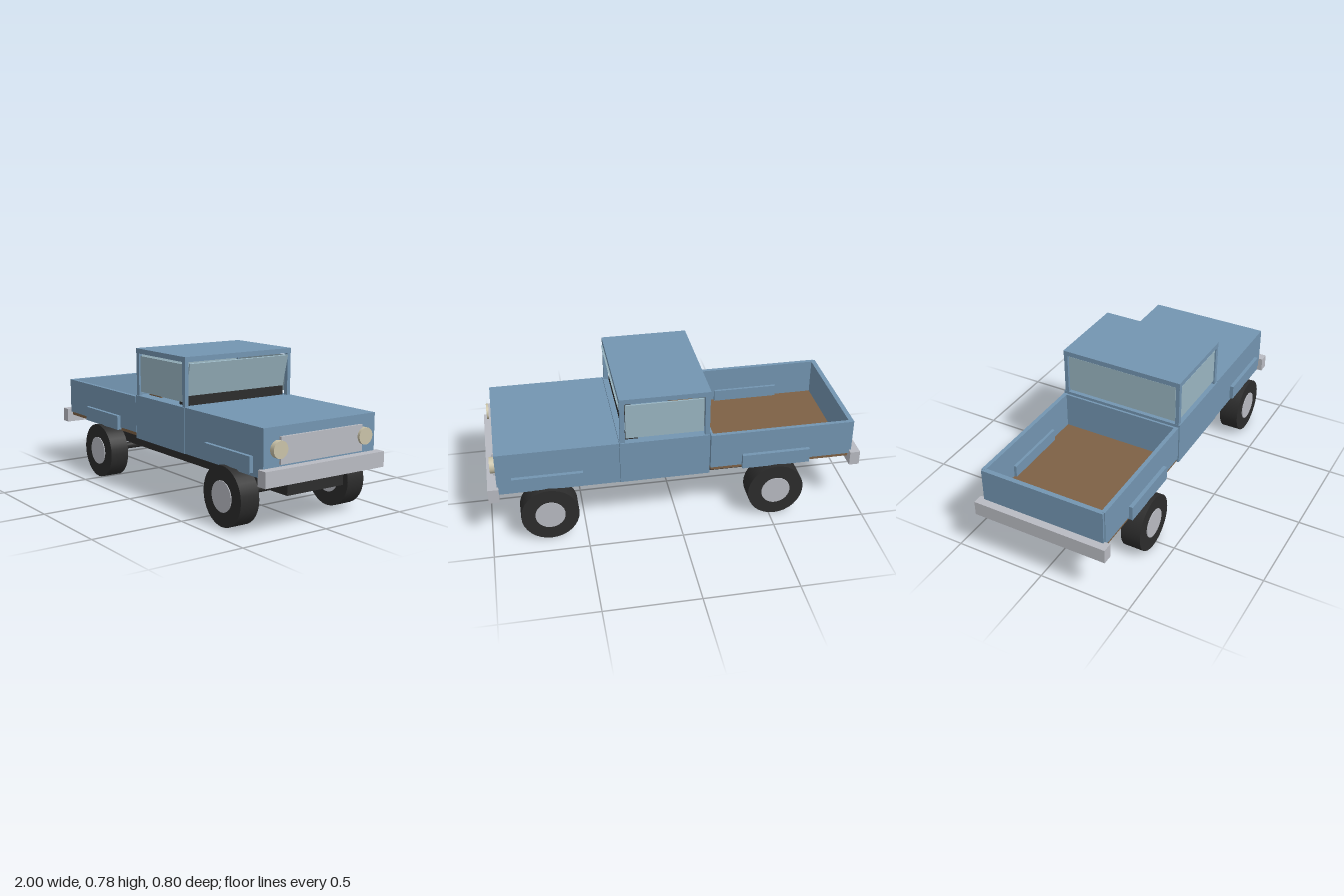
import * as THREE from 'three';

function material(name, color) {
  const m = new THREE.MeshStandardMaterial({ color });
  m.name = name;
  return m;
}

export function createModel() {
  const truck = new THREE.Group();
  truck.name = 'pickupTruck';

  const blue = material('bluePaint', 0x7395b1);
  const glass = material('paleGlass', 0x9ab6c2);
  const wood = material('brownWood', 0x7e6145);
  const dark = material('blackRubber', 0x2c2c2c);
  const metal = material('greyMetal', 0xb9bbc2);
  const cream = material('creamLamp', 0xc9c2a8);

  // Box given by its lower and upper limits on each axis
  function box(name, mat, [x0, x1], [y0, y1], [z0, z1]) {
    const mesh = new THREE.Mesh(new THREE.BoxGeometry(x1 - x0, y1 - y0, z1 - z0), mat);
    mesh.position.set((x0 + x1) / 2, (y0 + y1) / 2, (z0 + z1) / 2);
    mesh.name = name;
    truck.add(mesh);
    return mesh;
  }
  // Pair of boxes mirrored across z = 0
  function boxPair(name, mat, x, y, [z0, z1]) {
    box(name, mat, x, y, [z0, z1]);
    box(name, mat, x, y, [-z1, -z0]);
  }
  // Cylinder lying along z or x
  function cylinder(name, mat, radius, length, axis, x, y, z) {
    const geo = new THREE.CylinderGeometry(radius, radius, length, 32);
    if (axis === 'z') geo.rotateX(Math.PI / 2);
    else geo.rotateZ(-Math.PI / 2);
    const mesh = new THREE.Mesh(geo, mat);
    mesh.position.set(x, y, z);
    mesh.name = name;
    truck.add(mesh);
  }

  // Chassis and bumpers
  box('chassis', dark, [-0.765, 0.92], [0.173, 0.227], [-0.178, 0.178]);
  box('frontBumper', metal, [0.944, 1], [0.254, 0.333], [-0.375, 0.375]);
  box('rearBumper', metal, [-1, -0.945], [0.254, 0.333], [-0.375, 0.375]);

  // Lower cab and bonnet
  box('cabBody', blue, [-0.168, 0.309], [0.285, 0.525], [-0.353, 0.353]);
  box('bonnet', blue, [0.311, 0.952], [0.285, 0.525], [-0.35, 0.35]);

  // Roof and corner pillars
  box('roof', blue, [-0.17, 0.306], [0.755, 0.782], [-0.347, 0.347]);
  for (const x of [[-0.167, -0.142], [0.28, 0.305]])
    boxPair('pillar', blue, x, [0.52, 0.758], [0.325, 0.346]);

  // Windows
  boxPair('sideWindow', glass, [-0.135, 0.275], [0.547, 0.742], [0.331, 0.34]);
  box('rearWindow', glass, [-0.16, -0.151], [0.537, 0.747], [-0.32, 0.32]);
  const windscreen = box('windscreen', glass, [0.28, 0.289], [0.533, 0.75], [-0.32, 0.32]);
  windscreen.rotation.z = -0.24;

  // Cab interior
  box('dashboard', dark, [0.207, 0.278], [0.51, 0.575], [-0.315, 0.315]);
  box('seat', wood, [-0.13, -0.01], [0.51, 0.58], [-0.29, 0.29]);

  // Load bed
  box('bedFloor', wood, [-0.94, -0.177], [0.297, 0.317], [-0.345, 0.345]);
  boxPair('bedSide', blue, [-0.945, -0.175], [0.315, 0.515], [0.328, 0.35]);
  box('bedFrontWall', blue, [-0.188, -0.176], [0.315, 0.515], [-0.328, 0.328]);
  box('tailgate', blue, [-0.958, -0.932], [0.315, 0.514], [-0.345, 0.345]);

  // Wheels, axles and wheel arches
  for (const x of [-0.53, 0.69]) {
    cylinder('axle', dark, 0.019, 0.57, 'z', x, 0.158, 0);
    boxPair('wheelArch', blue, [x - 0.185, x + 0.185], [0.302, 0.382], [0.313, 0.371]);
    for (const side of [1, -1]) {
      cylinder('tyre', dark, 0.153, 0.109, 'z', x, 0.153, side * 0.339);
      cylinder('hub', metal, 0.079, 0.117, 'z', x, 0.153, side * 0.339);
    }
  }

  // Grille and headlights
  box('grille', metal, [0.945, 0.965], [0.344, 0.477], [-0.256, 0.256]);
  for (const side of [1, -1])
    cylinder('headlight', cream, 0.043, 0.034, 'x', 0.962, 0.419, side * 0.268);

  return truck;
}
